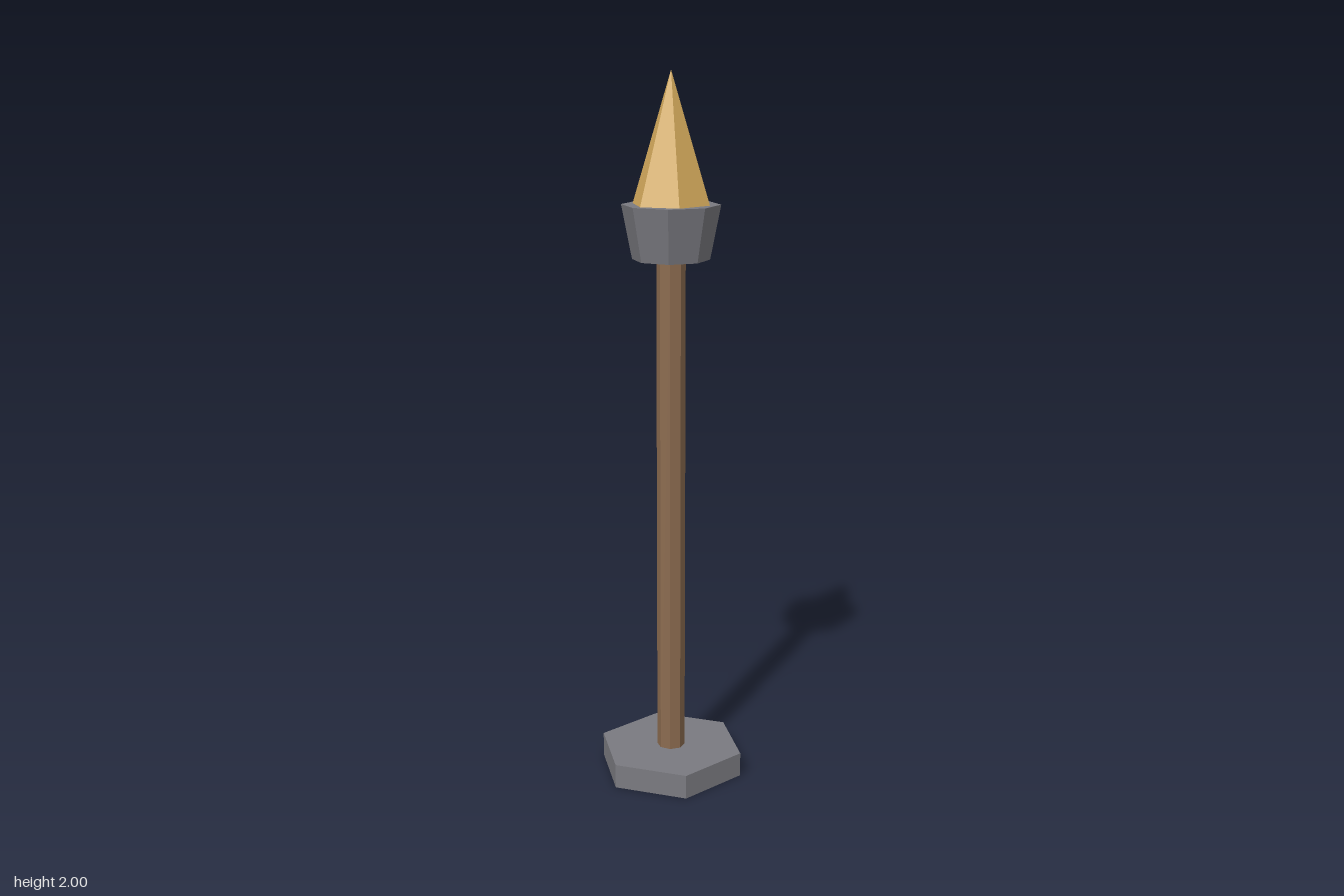
import * as THREE from 'three';

export function createModel() {
  const group = new THREE.Group();
  const material = (name, color) => {
    const m = new THREE.MeshStandardMaterial({ color, flatShading: true });
    m.name = name;
    return m;
  };
  const stone = material('grey stone', 0x7a7a80);
  const wood = material('brown wood', 0x8b6b4f);
  const gold = material('golden flame', 0xd4aa5c);

  // Faceted, tapered column standing between two heights
  const column = (name, rTop, rBottom, y0, y1, sides, mat) => {
    const geometry = new THREE.CylinderGeometry(rTop, rBottom, y1 - y0, sides);
    const mesh = new THREE.Mesh(geometry, mat);
    mesh.name = name;
    mesh.position.y = (y0 + y1) / 2;
    group.add(mesh);
  };

  column('base', 0.212, 0.212, 0, 0.07, 6, stone);
  column('pole', 0.04, 0.04, 0.002, 1.52, 8, wood);
  column('bowl', 0.135, 0.106, 1.5, 1.648, 8, stone);

  // Six-sided pointed flame resting on the bowl
  const flame = new THREE.Mesh(new THREE.ConeGeometry(0.11, 0.354, 6), gold);
  flame.name = 'flame';
  flame.position.y = 1.646 + 0.354 / 2;
  group.add(flame);

  return group;
}
